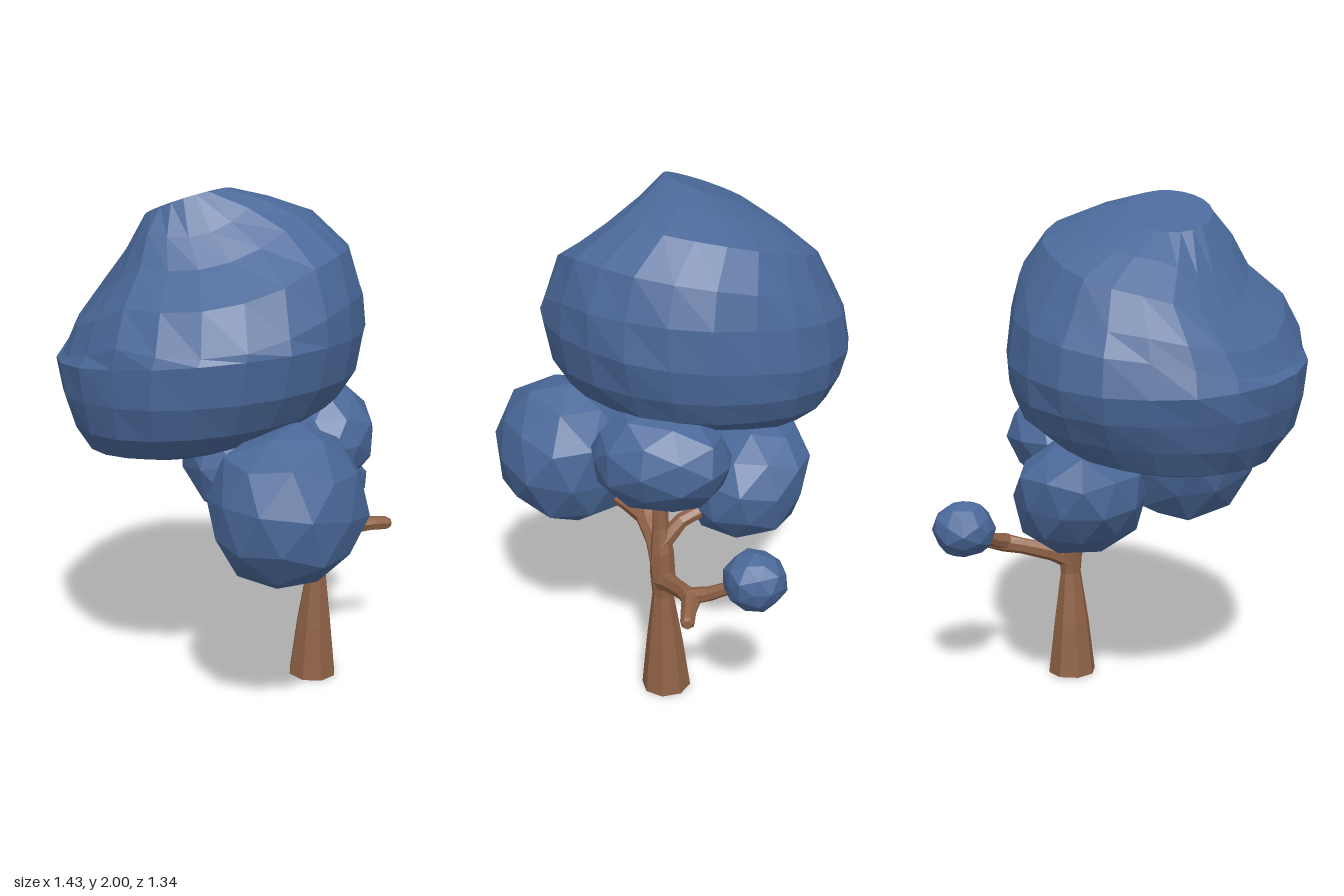
import * as THREE from 'three';

const leafMat = new THREE.MeshStandardMaterial({ color: 0x4a6899, flatShading: true });
const woodMat = new THREE.MeshStandardMaterial({ color: 0x8f6146, flatShading: true });
const V = (x, y, z) => new THREE.Vector3(x, y, z);

// Repeatable wobble between -1 and 1, the same for coincident points
function wobble(p, seed) {
  const s = Math.sin(p.x * 12.9 + p.y * 78.2 + p.z * 37.7 + seed * 5.3) * 437.5;
  return (s - Math.floor(s)) * 2 - 1;
}

// Closed skin over a stack of rings, capped with fans at both ends
function loft(rings) {
  const n = rings[0].length;
  const out = [];
  const tri = (...pts) => pts.forEach((p) => out.push(p.x, p.y, p.z));
  const middle = (ring) => ring.reduce((m, p) => m.add(p), V(0, 0, 0)).divideScalar(n);
  const first = rings[0];
  const last = rings[rings.length - 1];
  const c0 = middle(first);
  const c1 = middle(last);
  for (let s = 0; s < n; s++) {
    const t = (s + 1) % n;
    tri(c0, first[t], first[s]);
    for (let r = 0; r < rings.length - 1; r++) {
      const a = rings[r], b = rings[r + 1];
      tri(a[s], a[t], b[s]);
      tri(a[t], b[t], b[s]);
    }
    tri(c1, last[s], last[t]);
  }
  const geo = new THREE.BufferGeometry();
  geo.setAttribute('position', new THREE.Float32BufferAttribute(out, 3));
  geo.computeVertexNormals();
  return geo;
}

// Tapered faceted limb; each station is [x, y, z, radius]
function limb(name, stations, sides = 7) {
  const pts = stations.map(([x, y, z]) => V(x, y, z));
  const ref = V(0.2, 0.1, 1);
  const rings = pts.map((p, i) => {
    const t = pts[Math.min(i + 1, pts.length - 1)].clone().sub(pts[Math.max(i - 1, 0)]).normalize();
    const v = t.clone().cross(ref).normalize();
    const u = v.clone().cross(t);
    return Array.from({ length: sides }, (_, s) => {
      const a = (s / sides) * Math.PI * 2;
      return p.clone()
        .addScaledVector(u, Math.cos(a) * stations[i][3])
        .addScaledVector(v, Math.sin(a) * stations[i][3]);
    });
  });
  const mesh = new THREE.Mesh(loft(rings), woodMat);
  mesh.name = name;
  return mesh;
}

// Rough faceted clump of leaves
function clump(name, center, radii, seed, turn = [0, 0, 0]) {
  const geo = new THREE.IcosahedronGeometry(1, 1);
  const pos = geo.attributes.position;
  const p = V(0, 0, 0);
  for (let i = 0; i < pos.count; i++) {
    p.fromBufferAttribute(pos, i);
    const key = V(Math.round(p.x * 100), Math.round(p.y * 100), Math.round(p.z * 100)).divideScalar(100);
    p.multiplyScalar(1 + 0.05 * wobble(key, seed));
    pos.setXYZ(i, p.x, p.y, p.z);
  }
  geo.scale(...radii);
  geo.computeVertexNormals();
  const mesh = new THREE.Mesh(geo, leafMat);
  mesh.position.set(...center);
  mesh.rotation.set(...turn);
  mesh.name = name;
  return mesh;
}

// Large crown: tilted rings [cx, cy, cz, rx, rz, slopeX, slopeZ] from top to bottom
function crown() {
  const rows = [
    [-0.19, 1.935, -0.15, 0.16, 0.16, 0, 0.38],
    [-0.15, 1.87, -0.15, 0.27, 0.28, 0.08, 0.31],
    [-0.105, 1.78, -0.135, 0.38, 0.41, 0.12, 0.26],
    [-0.135, 1.655, -0.09, 0.495, 0.53, 0.08, 0.22],
    [-0.15, 1.53, -0.07, 0.55, 0.57, 0.08, 0.13],
    [-0.15, 1.41, -0.08, 0.57, 0.59, 0, 0.12],
    [-0.155, 1.28, -0.085, 0.56, 0.56, 0.02, 0.08],
    [-0.16, 1.17, -0.095, 0.52, 0.505, 0.05, 0.08],
    [-0.17, 1.085, -0.12, 0.43, 0.42, 0.08, 0.12],
    [-0.18, 1.025, -0.14, 0.27, 0.27, 0.08, 0.12],
  ];
  const sides = 22;
  const rings = rows.map(([cx, cy, cz, rx, rz, sx, sz], r) =>
    Array.from({ length: sides }, (_, s) => {
      const a = (s / sides) * Math.PI * 2;
      const c = Math.cos(a), d = Math.sin(a);
      // Fuller toward the back on the +x side of the lower rings
      const bulge = r > 3 && c > 0 && d < 0 ? -0.09 * c * d : 0;
      const k = r === 0 ? 1 : 1 + bulge + 0.012 * wobble(V(s, r, 0), 2);
      // Flatter shoulders on the -x side of the upper rings
      const hollow = r > 0 && r < 5 && c < 0 ? 0.13 * Math.abs(c * d) : 0;
      return V(cx + c * rx * k, cy + c * rx * k * sx + d * rz * k * sz - hollow, cz + d * rz * k);
    }));
  const mesh = new THREE.Mesh(loft(rings), leafMat);
  mesh.name = 'crown';
  return mesh;
}

export function createModel() {
  const tree = new THREE.Group();
  tree.name = 'tree';

  const wood = new THREE.Group();
  wood.name = 'trunkAndBranches';
  wood.add(
    limb('trunk', [[0.163, 0, 0.188, 0.098], [0.163, 0.22, 0.193, 0.072], [0.165, 0.43, 0.2, 0.042],
      [0.165, 0.52, 0.2, 0.05], [0.16, 0.62, 0.2, 0.047], [0.15, 0.72, 0.2, 0.033], [0.14, 0.95, 0.2, 0.026]], 8),
    limb('sideBranch', [[0.16, 0.49, 0.2, 0.05], [0.24, 0.515, 0.2, 0.036], [0.36, 0.545, 0.2, 0.033],
      [0.44, 0.56, 0.205, 0.038], [0.51, 0.555, 0.25, 0.03], [0.565, 0.547, 0.28, 0.028], [0.58, 0.547, 0.288, 0.018]]),
    limb('sideTwig', [[0.42, 0.56, 0.21, 0.035], [0.48, 0.59, 0.15, 0.028], [0.57, 0.66, 0.05, 0.022]]),
    limb('leftBranch', [[0.165, 0.56, 0.2, 0.05], [0.1, 0.64, 0.2, 0.042], [0, 0.7, 0.2, 0.043],
      [-0.08, 0.725, 0.24, 0.035], [-0.2, 0.77, 0.32, 0.026]]),
    limb('upperBranch', [[0.01, 0.7, 0.2, 0.04], [-0.03, 0.77, 0.19, 0.034], [-0.035, 0.9, 0.16, 0.026], [-0.05, 1.07, 0.05, 0.02]]),
    limb('backBranch', [[0.16, 0.65, 0.2, 0.038], [0.17, 0.74, 0.12, 0.03], [0.19, 0.81, -0.05, 0.025]]),
  );

  const leaves = new THREE.Group();
  leaves.name = 'foliage';
  leaves.add(
    crown(),
    clump('frontLeafClump', [-0.322, 0.895, 0.4], [0.31, 0.305, 0.285], 1, [0, 0, 0.35]),
    clump('middleLeafClump', [0.17, 1.03, 0.205], [0.28, 0.21, 0.205], 4, [0, Math.PI / 4, 0]),
    clump('backLeafClump', [0.15, 0.868, -0.17], [0.258, 0.22, 0.265], 7, [0.75, 0, 0]),
    clump('smallLeafClump', [0.595, 0.68, 0.018], [0.125, 0.113, 0.12], 3),
  );

  tree.add(wood, leaves);
  return tree;
}
